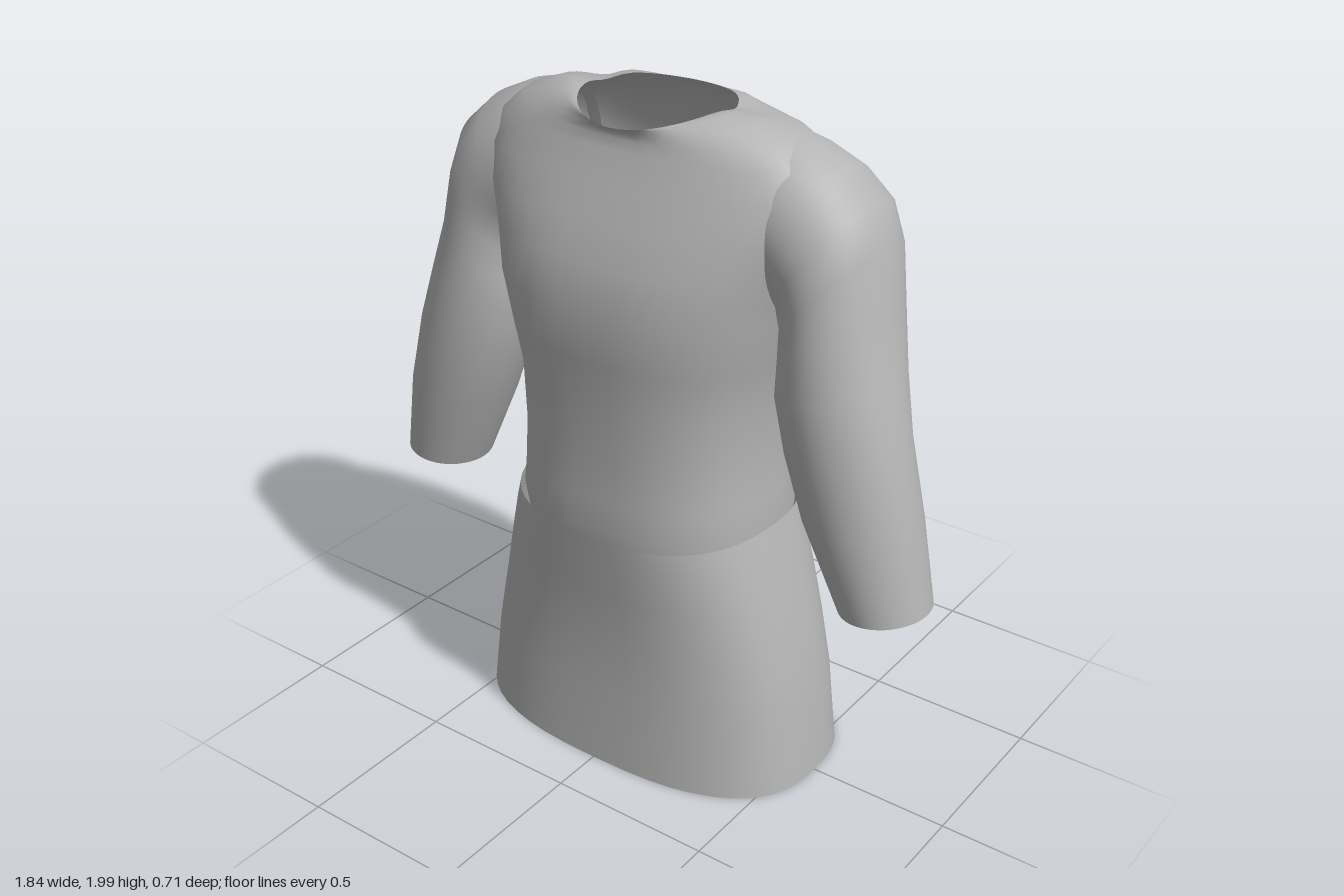
import * as THREE from 'three';

const SEG = 48;

// Skins a stack of rings (ordered bottom to top) with smooth normals
function loft(rings, name, material) {
  const pos = [], index = [];
  rings.forEach((ring) => ring.forEach((p) => pos.push(p.x, p.y, p.z)));
  for (let r = 0; r < rings.length - 1; r++) {
    for (let i = 0; i < SEG; i++) {
      const a = r * SEG + i, b = r * SEG + ((i + 1) % SEG);
      index.push(a, a + SEG, b, b, a + SEG, b + SEG);
    }
  }
  const geometry = new THREE.BufferGeometry();
  geometry.setAttribute('position', new THREE.Float32BufferAttribute(pos, 3));
  geometry.setIndex(index);
  geometry.computeVertexNormals();
  const mesh = new THREE.Mesh(geometry, material);
  mesh.name = name;
  return mesh;
}

const signedPow = (v, p) => Math.sign(v) * Math.abs(v) ** p;
const bump = (d, r) => Math.exp(-(d * d) / (r * r));

// Horizontal ring: side height, half width, front z, back z, roundness, front and back height offsets
function bodyRing([y, w, front, back, n = 2.5, dyFront = 0, dyBack = 0]) {
  return Array.from({ length: SEG }, (_, i) => {
    const t = (i / SEG) * Math.PI * 2, s = Math.sin(t);
    const depth = signedPow(s, 2 / n);
    return new THREE.Vector3(
      w * signedPow(Math.cos(t), 2 / n),
      y + s * s * (s > 0 ? dyFront : dyBack),
      depth > 0 ? front * depth : -back * depth
    );
  });
}

// Sleeve ring between an outer and an inner point, with its front and back z
function sleeveRing([ox, oy, ix, iy, front, back], side) {
  return Array.from({ length: SEG }, (_, i) => {
    const t = (i / SEG) * Math.PI * 2 * side, k = (1 + Math.cos(t)) / 2;
    return new THREE.Vector3(
      side * (ix + (ox - ix) * k),
      iy + (oy - iy) * k,
      (front + back) / 2 + ((front - back) / 2) * Math.sin(t)
    );
  });
}

export function createModel() {
  const group = new THREE.Group();
  group.name = 'tunic';
  const cloth = new THREE.MeshStandardMaterial({ color: 0xb4b4b4, side: THREE.DoubleSide });
  cloth.name = 'grey cloth';

  // Bodice, from the tucked waist up over the shoulders to the neckline
  const torso = [
    [0.73, 0.39, 0.325, -0.3],
    [0.8, 0.4, 0.335, -0.305],
    [0.9, 0.39, 0.33, -0.265],
    [1.02, 0.385, 0.325, -0.235],
    [1.2, 0.39, 0.33, -0.255],
    [1.32, 0.42, 0.34, -0.27],
    [1.47, 0.45, 0.355, -0.29],
    [1.6, 0.48, 0.325, -0.302],
    [1.7, 0.52, 0.285, -0.305],
    [1.8, 0.54, 0.24, -0.275],
    [1.88, 0.51, 0.205, -0.24, 2.4],
    [1.94, 0.43, 0.198, -0.21, 2.3, -0.03, -0.01],
    [1.975, 0.34, 0.2, -0.19, 2.2, -0.05, -0.02],
    [1.997, 0.27, 0.21, -0.18, 2.1, -0.06, -0.03],
    [1.985, 0.22, 0.225, -0.17, 2, -0.04, -0.01],
  ].map(bodyRing);
  torso.flat().forEach((p) => {
    // Shallow groove down the spine and a small fold beside the neck
    if (p.z < -0.1) p.z += 0.03 * bump(p.x, 0.1) * bump(p.y - 1.15, 0.4);
    if (p.y > 1.9) p.y -= 0.035 * bump(Math.abs(p.x) - 0.26, 0.05) * bump(p.z + 0.06, 0.07);
  });
  group.add(loft(torso, 'bodice', cloth));

  // Flared skirt overlapping the waist
  const skirt = [
    [0.005, 0.57, 0.345, -0.355, 2.6],
    [0.25, 0.54, 0.33, -0.35, 2.6],
    [0.44, 0.5, 0.325, -0.345, 2.6],
    [0.6, 0.46, 0.338, -0.338, 2.6],
    [0.73, 0.425, 0.35, -0.33, 2.6],
    [0.805, 0.405, 0.355, -0.305, 2.55, -0.018, -0.03],
  ].map(bodyRing);
  group.add(loft(skirt, 'skirt', cloth));

  // Sleeves, from the open cuff up into the shoulder
  const sleeve = [
    [0.92, 0.72, 0.665, 0.69, 0.185, -0.09],
    [0.875, 0.97, 0.545, 0.945, 0.215, -0.108],
    [0.82, 1.2, 0.48, 1.12, 0.215, -0.115],
    [0.775, 1.36, 0.435, 1.27, 0.21, -0.16],
    [0.73, 1.53, 0.43, 1.36, 0.195, -0.21],
    [0.698, 1.7, 0.43, 1.43, 0.187, -0.235],
    [0.655, 1.81, 0.42, 1.48, 0.185, -0.24],
    [0.57, 1.885, 0.4, 1.5, 0.18, -0.235],
    [0.46, 1.935, 0.38, 1.52, 0.17, -0.22],
    [0.36, 1.96, 0.36, 1.54, 0.15, -0.2],
  ];
  for (const side of [1, -1]) {
    const rings = sleeve.map((s) => sleeveRing(s, side));
    group.add(loft(rings, side > 0 ? 'leftSleeve' : 'rightSleeve', cloth));
  }
  return group;
}
